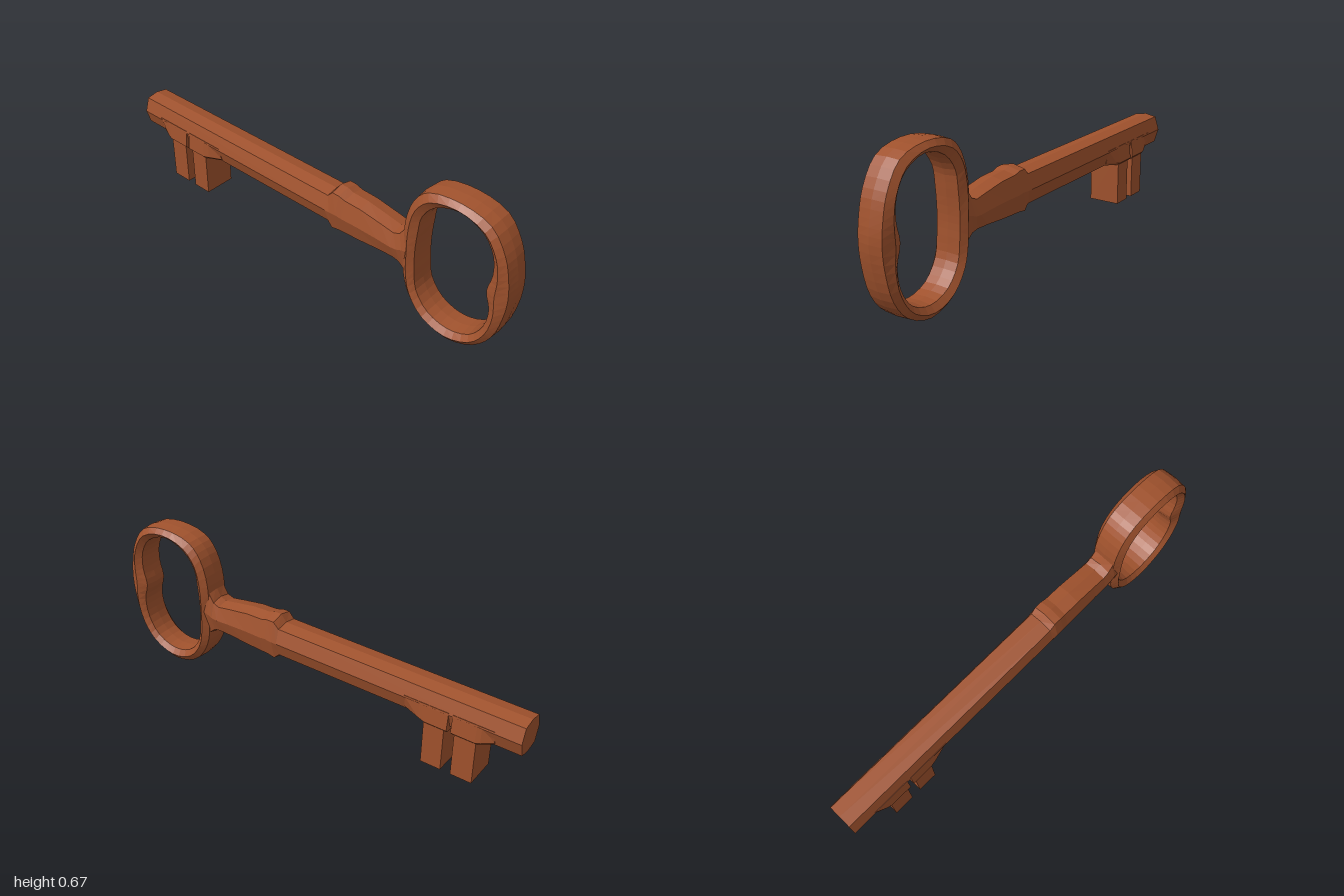
import * as THREE from 'three';

const material = new THREE.MeshStandardMaterial({
  color: 0xa0522d, flatShading: true,
});

// Eight-sided section shared by the shaft and the bow: [across, outward]
const SECTION = [
  [1, 0], [0.73, 0.87], [0, 1], [-0.73, 0.87],
  [-1, 0], [-0.73, -0.87], [0, -1], [0.73, -0.87],
];

// Skin a list of rings; either closes into a loop or caps both ends
function loft(rings, loop = false) {
  const n = rings[0].length;
  const count = rings.length;
  const index = [];
  for (let i = 0; i < (loop ? count : count - 1); i++) {
    for (let j = 0; j < n; j++) {
      const k = (j + 1) % n;
      const a = i * n + j, b = i * n + k;
      const c = ((i + 1) % count) * n + j, d = ((i + 1) % count) * n + k;
      index.push(a, c, b, b, c, d);
    }
  }
  if (!loop) {
    const e = (count - 1) * n;
    for (let j = 1; j < n - 1; j++) index.push(0, j, j + 1, e, e + j + 1, e + j);
  }
  const geometry = new THREE.BufferGeometry();
  geometry.setAttribute('position', new THREE.Float32BufferAttribute(rings.flat(2), 3));
  geometry.setIndex(index);
  geometry.computeVertexNormals();
  return geometry;
}

function closedCurve(points) {
  return new THREE.CatmullRomCurve3(points.map(([z, y]) => new THREE.Vector3(0, y, z)), true);
}

// Oval bow: a bevelled band between an outer and an inner outline
function bowGeometry() {
  const outer = closedCurve([
    [0.754, 0.675], [0.61, 0.652], [0.55, 0.588], [0.515, 0.465],
    [0.52, 0.33], [0.524, 0.214], [0.556, 0.123], [0.63, 0.037],
    [0.754, 0.002], [0.877, 0.05], [0.95, 0.14], [0.985, 0.257],
    [0.997, 0.36], [0.985, 0.45], [0.957, 0.545], [0.888, 0.642],
  ]);
  const inner = closedCurve([
    [0.754, 0.628], [0.652, 0.594], [0.597, 0.524], [0.585, 0.444],
    [0.578, 0.34], [0.583, 0.257], [0.597, 0.166], [0.658, 0.09],
    [0.754, 0.063], [0.85, 0.096], [0.904, 0.176], [0.916, 0.267],
    [0.893, 0.348], [0.911, 0.428], [0.904, 0.513], [0.856, 0.588],
  ]);
  const rings = [];
  const steps = 48;
  for (let i = 0; i < steps; i++) {
    const o = outer.getPoint(i / steps);
    const p = inner.getPoint(i / steps);
    rings.push(SECTION.map(([x, d]) => {
      const v = p.clone().lerp(o, (d + 1) / 2);
      return [x * 0.075, v.y, v.z];
    }));
  }
  return loft(rings, true);
}

// Shaft stations: [z, half width, bottom, top]
function shaftGeometry() {
  return loft([
    [0.555, 0.068, 0.19, 0.49], [0.52, 0.068, 0.218, 0.445],
    [0.495, 0.069, 0.243, 0.4], [0.465, 0.07, 0.25, 0.388],
    [0.4, 0.071, 0.247, 0.4], [0.3, 0.073, 0.238, 0.417],
    [0.22, 0.074, 0.234, 0.42], [0.19, 0.076, 0.233, 0.43],
    [0.155, 0.076, 0.226, 0.431], [0.13, 0.074, 0.254, 0.4],
    [-1, 0.074, 0.254, 0.4],
  ].map(([z, w, lo, hi]) =>
    SECTION.map(([x, y]) => [x * w, (lo + hi) / 2 + y * (hi - lo) / 2, z])));
}

// Flared seat that blends a tooth into the shaft: [z, half width, bottom]
function seatGeometry(stations) {
  return loft(stations.map(([z, w, lo]) => [
    [0.073, 0.335, z], [-0.073, 0.335, z], [-w, lo + 0.012, z],
    [-w + 0.012, lo, z], [w - 0.012, lo, z], [w, lo + 0.012, z],
  ]));
}

export function createModel() {
  const key = new THREE.Group();
  key.name = 'key';
  const add = (name, geometry, parent = key) => {
    const mesh = new THREE.Mesh(geometry, material);
    mesh.name = name;
    parent.add(mesh);
    return mesh;
  };

  add('bow', bowGeometry());
  add('shaft', shaftGeometry());

  // Bit: two teeth hanging from flared seats with a narrow gap between
  const bit = new THREE.Group();
  bit.name = 'bit';
  key.add(bit);
  add('frontSeat', seatGeometry([
    [-0.5, 0.06, 0.262], [-0.57, 0.077, 0.25], [-0.6, 0.081, 0.243], [-0.698, 0.081, 0.243],
  ]), bit);
  add('rearSeat', seatGeometry([
    [-0.716, 0.081, 0.243], [-0.82, 0.081, 0.243], [-0.84, 0.077, 0.248], [-0.89, 0.06, 0.262],
  ]), bit);
  for (const [name, z0, z1] of [['frontTooth', -0.594, -0.684], ['rearTooth', -0.729, -0.822]]) {
    const tooth = add(name, new THREE.BoxGeometry(0.146, 0.25, z0 - z1), bit);
    tooth.position.set(0, 0.177, (z0 + z1) / 2);
  }
  return key;
}
